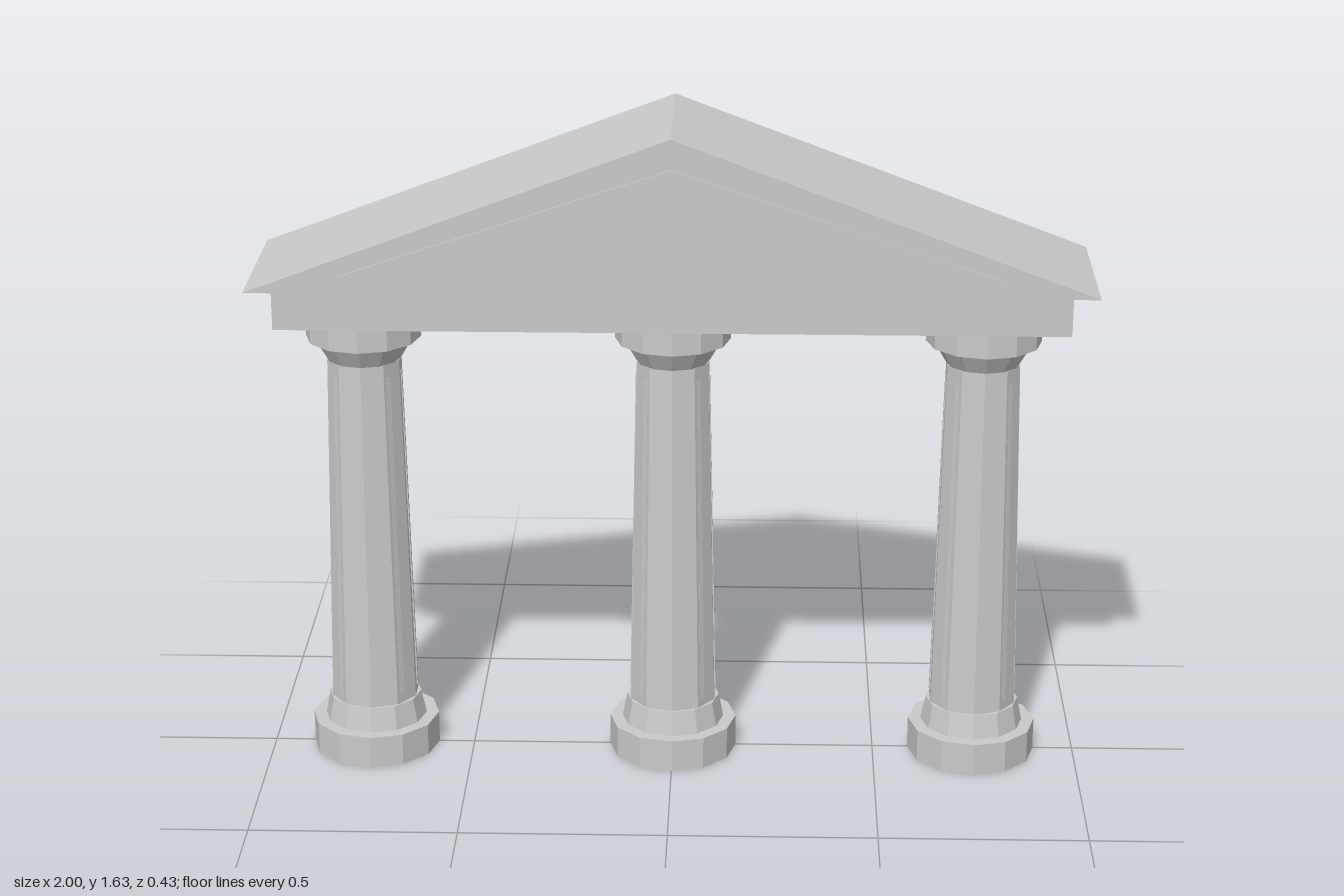
import * as THREE from 'three';

export function createModel() {
  const stone = new THREE.MeshStandardMaterial({ color: 0xcacaca });
  stone.name = 'pale stone';
  const temple = new THREE.Group();
  temple.name = 'temple';

  const add = (parent, geometry, name, x = 0, y = 0, z = 0) => {
    const mesh = new THREE.Mesh(geometry, stone);
    mesh.name = name;
    mesh.position.set(x, y, z);
    parent.add(mesh);
    return mesh;
  };

  // Faceted drum between two heights
  const drum = (parent, name, rBottom, rTop, y0, y1, sides = 12) => {
    const g = new THREE.CylinderGeometry(rTop, rBottom, y1 - y0, sides).toNonIndexed();
    g.computeVertexNormals();
    return add(parent, g, name, 0, (y0 + y1) / 2, 0);
  };

  // Triangular prism centred on z = 0
  const gable = (name, halfWidth, y0, y1, depth) => {
    const shape = new THREE.Shape([
      new THREE.Vector2(-halfWidth, y0),
      new THREE.Vector2(halfWidth, y0),
      new THREE.Vector2(0, y1),
    ]);
    const g = new THREE.ExtrudeGeometry(shape, { depth, bevelEnabled: false });
    g.translate(0, 0, -depth / 2);
    return add(temple, g, name);
  };

  // Columns with plinth, tapered shaft, slim ribs and capital
  const rLow = 0.109, rHigh = 0.091, shaftLow = 0.14, shaftHigh = 1.025;
  const lean = Math.atan((rLow - rHigh) / (shaftHigh - shaftLow));
  for (const x of [-0.745, 0, 0.745]) {
    const column = new THREE.Group();
    column.name = 'column';
    column.position.x = x;
    drum(column, 'plinth', 0.157, 0.157, 0, 0.08);
    drum(column, 'baseMoulding', 0.126, 0.114, 0.08, 0.14);
    drum(column, 'shaft', rLow, rHigh, shaftLow, shaftHigh, 10);
    drum(column, 'capitalNeck', 0.09, 0.122, 1.025, 1.08);
    drum(column, 'capitalTop', 0.139, 0.139, 1.078, 1.145);
    for (let i = 0; i < 8; i++) {
      const pivot = new THREE.Group();
      pivot.name = 'rib';
      pivot.rotation.y = (i * Math.PI) / 4;
      const rib = add(pivot, new THREE.BoxGeometry(0.013, 0.83, 0.02), 'ribBar', 0, 0.575, 0.088);
      rib.rotation.x = -lean;
      column.add(pivot);
    }
    temple.add(column);
  }

  // Beam, roof and the slightly raised triangle on both gable faces
  add(temple, new THREE.BoxGeometry(1.88, 0.107, 0.325), 'beam', 0, 1.1975, 0);
  gable('pediment', 1, 1.25, 1.627, 0.416);
  gable('gablePanel', 0.775, 1.293, 1.555, 0.426);

  return temple;
}
